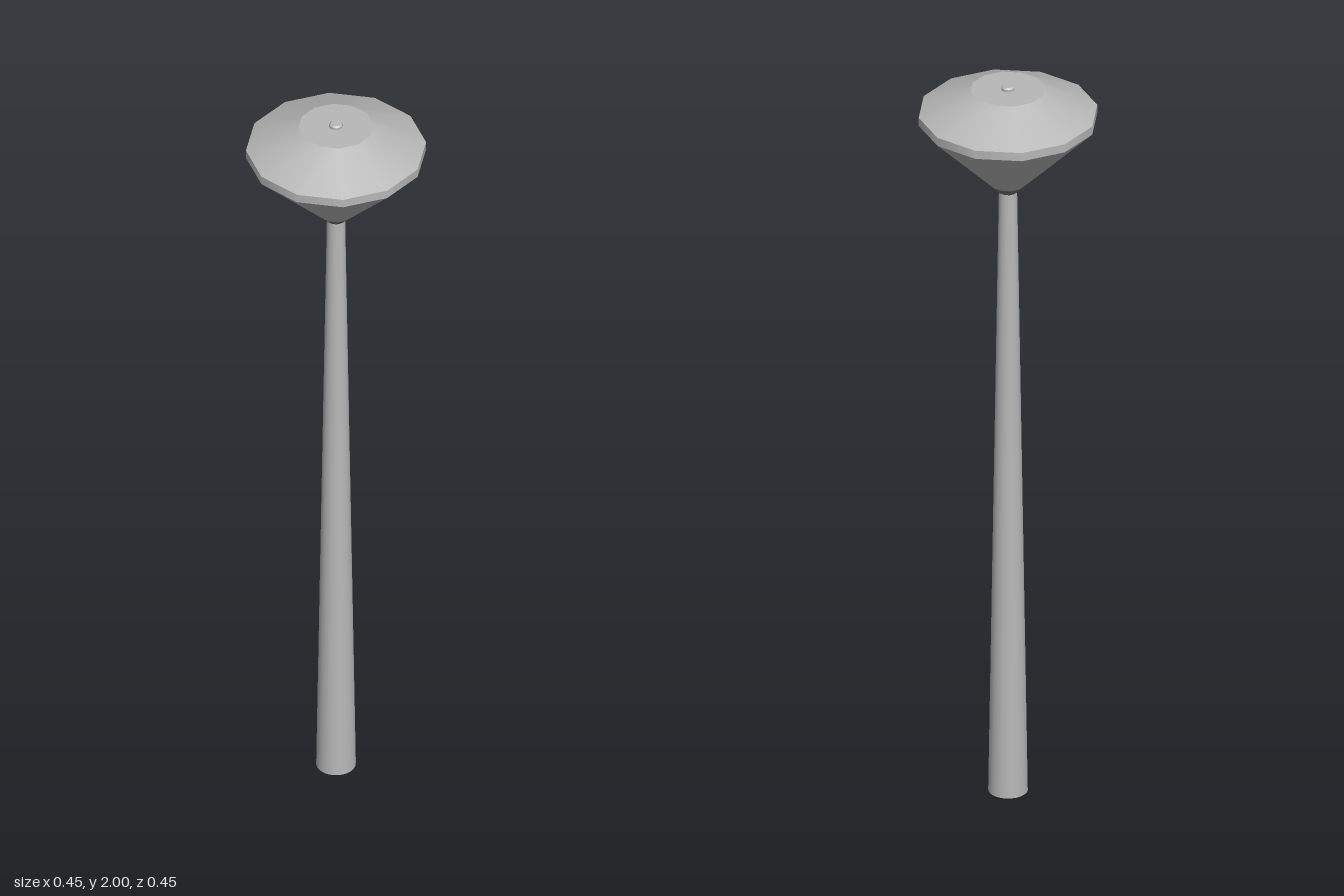
import * as THREE from 'three';

const grey = new THREE.MeshStandardMaterial({ color: 0xb8b8b8 });
grey.name = 'lightGrey';
const dark = new THREE.MeshStandardMaterial({ color: 0x77777a });
dark.name = 'darkGrey';

export function createModel() {
  const group = new THREE.Group();

  // Tapered ring standing between heights y0 and y1, open unless capped
  const taper = (name, r0, y0, r1, y1, sides, open = true, material = grey) => {
    const geometry = new THREE.CylinderGeometry(r1, r0, y1 - y0, sides, 1, open);
    const mesh = new THREE.Mesh(geometry, material);
    mesh.name = name;
    mesh.position.y = (y0 + y1) / 2;
    group.add(mesh);
    return mesh;
  };
  // Flat disc facing up
  const disc = (name, r, y, sides) => {
    const geometry = new THREE.CircleGeometry(r, sides).rotateX(-Math.PI / 2);
    const mesh = new THREE.Mesh(geometry, grey);
    mesh.name = name;
    mesh.position.y = y;
    group.add(mesh);
  };

  // Slender mast
  taper('mast', 0.05, 0, 0.023, 1.71, 24, false);

  // Twelve-sided head, each band with its own crease
  taper('collar', 0.023, 1.7, 0.045, 1.723, 12, true, dark);
  taper('lowerCone', 0.045, 1.723, 0.227, 1.904, 12);
  taper('rim', 0.227, 1.904, 0.227, 1.927, 12);
  taper('roof', 0.227, 1.927, 0.095, 1.99, 12);
  disc('roofTop', 0.095, 1.99, 12);

  // Small bevelled knob on top
  taper('knob', 0.017, 1.985, 0.017, 1.996, 24);
  taper('knobBevel', 0.017, 1.996, 0.013, 2, 24);
  disc('knobTop', 0.013, 2, 24);

  return group;
}
